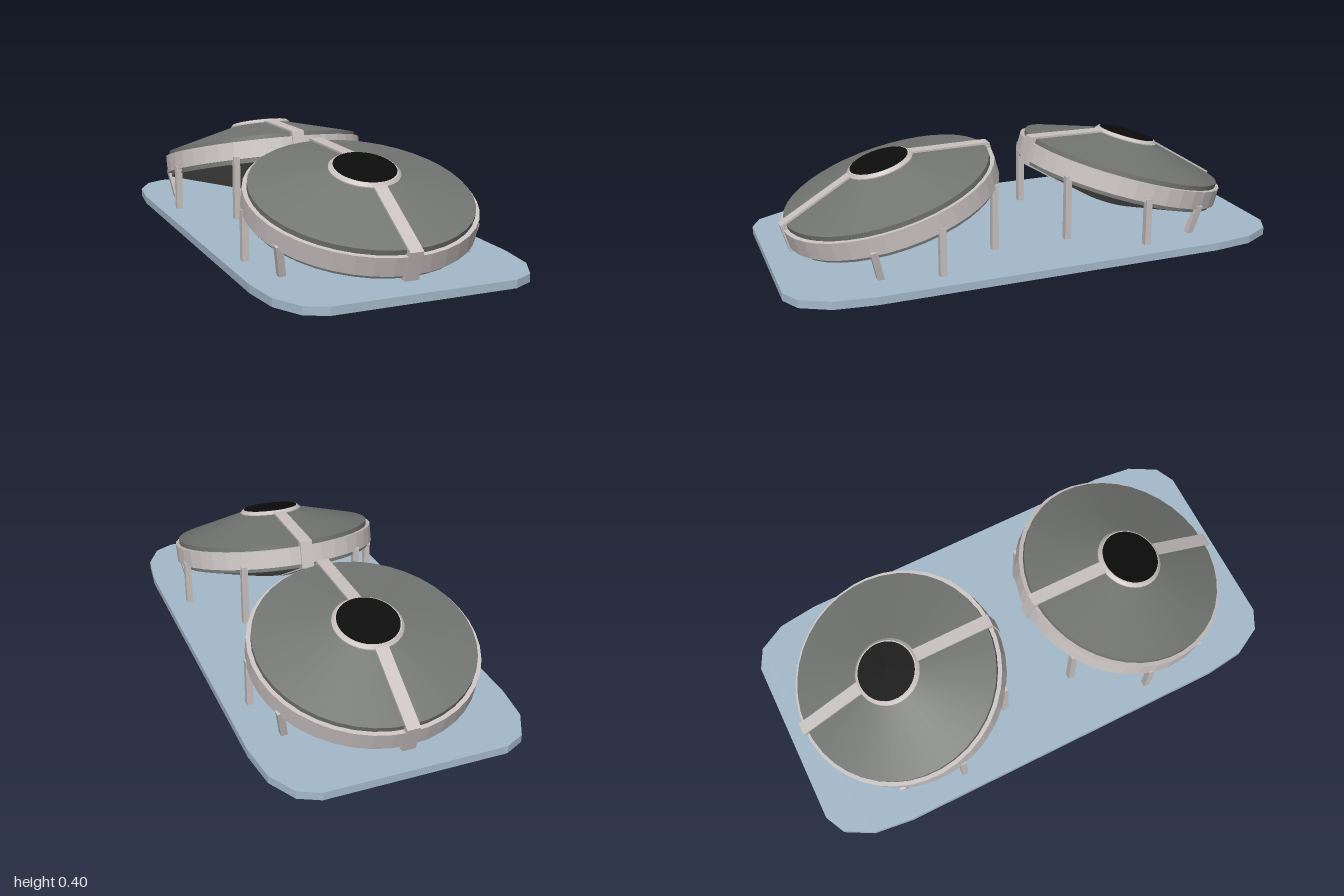
import * as THREE from 'three';
import { toCreasedNormals } from 'three/addons/utils/BufferGeometryUtils.js';

const mat = (name, color) => {
  const m = new THREE.MeshStandardMaterial({ color });
  m.name = name;
  return m;
};

const V2 = (pts) => pts.map(([x, y]) => new THREE.Vector2(x, y));

export function createModel() {
  const blue = mat('pale blue', 0xa5bacb);
  const light = mat('light grey', 0xc9c2c1);
  const grey = mat('dark grey', 0x737572);
  const black = mat('black', 0x0c0c0c);

  const model = new THREE.Group();
  model.name = 'twinTanks';

  const add = (parent, name, geometry, material) => {
    const mesh = new THREE.Mesh(geometry, material);
    mesh.name = name;
    parent.add(mesh);
    return mesh;
  };
  const lathe = (pts, crease) =>
    toCreasedNormals(new THREE.LatheGeometry(V2(pts), 40), crease);

  // Base slab with chamfered corners
  const corner = [[0.51, 0.69], [0.49, 0.85], [0.43, 0.96], [0.35, 1]];
  const back = [...corner].reverse();
  const outline = V2([
    ...corner,
    ...back.map(([x, y]) => [-x, y]),
    ...corner.map(([x, y]) => [-x, -y]),
    ...back.map(([x, y]) => [x, -y]),
  ]);
  const slab = new THREE.ExtrudeGeometry(new THREE.Shape(outline), { depth: 0.031, bevelEnabled: false });
  slab.rotateX(-Math.PI / 2);
  add(model, 'baseSlab', slab, blue);

  // Shared tank geometry, built upright around its own centre
  const bodyGeo = lathe([[0, -0.138], [0.13, -0.138], [0.42, -0.055], [0.42, 0.055], [0.13, 0.135], [0, 0.135]], 0.2);
  const ringGeo = lathe([[0.41, -0.037], [0.437, -0.037], [0.437, 0.036], [0.41, 0.036]], 0.1);
  const lipGeo = lathe([[0.134, 0.125], [0.134, 0.138], [0.123, 0.149], [0.11, 0.149]], 0.3);
  const hatchGeo = new THREE.CylinderGeometry(0.118, 0.118, 0.006, 40);

  // Strap wrapping over and under the tank
  const half = [[0.125, 0.143], [0.423, 0.062], [0.442, 0.056]];
  const halfBack = [...half].reverse();
  const strapShape = new THREE.Shape(V2([
    ...halfBack,
    ...half.map(([x, y]) => [-x, y]),
    ...halfBack.map(([x, y]) => [-x, -y]),
    ...half.map(([x, y]) => [x, -y]),
  ]));
  const strapGeo = new THREE.ExtrudeGeometry(strapShape, { depth: 0.052, bevelEnabled: false });
  strapGeo.translate(0, 0, -0.026);
  strapGeo.rotateY(Math.PI / 2);

  // Legs as top and bottom points: [x, y, z]
  const legs = [
    [[0.25, 0.295, 0.155], [0.25, 0.03, 0.155]],
    [[0.422, 0.22, 0.422], [0.422, 0.03, 0.422]],
    [[0.39, 0.15, 0.672], [0.367, 0.028, 0.643]],
  ];
  const addLeg = (parent, a, b) => {
    const top = new THREE.Vector3(...a);
    const foot = new THREE.Vector3(...b);
    const dir = top.clone().sub(foot);
    const leg = add(parent, 'leg', new THREE.BoxGeometry(0.026, dir.length(), 0.026), light);
    leg.position.copy(top).add(foot).multiplyScalar(0.5);
    leg.quaternion.setFromUnitVectors(new THREE.Vector3(0, 1, 0), dir.normalize());
  };

  // Two tanks tilted away from each other
  for (const side of [1, -1]) {
    const unit = new THREE.Group();
    unit.name = side > 0 ? 'frontTank' : 'backTank';
    unit.position.x = -0.008;
    model.add(unit);

    const tank = new THREE.Group();
    tank.name = 'tiltedTank';
    tank.position.set(0, 0.221, side * 0.5);
    tank.rotation.x = side * THREE.MathUtils.degToRad(16);
    unit.add(tank);

    add(tank, 'tankBody', bodyGeo, grey);
    add(tank, 'rimRing', ringGeo, light);
    add(tank, 'strap', strapGeo, light);
    add(tank, 'hatchLip', lipGeo, light);
    add(tank, 'hatch', hatchGeo, black).position.y = 0.148;

    for (const [a, b] of legs)
      for (const s of [1, -1])
        addLeg(unit, [s * a[0], a[1], side * a[2]], [s * b[0], b[1], side * b[2]]);
  }
  return model;
}
